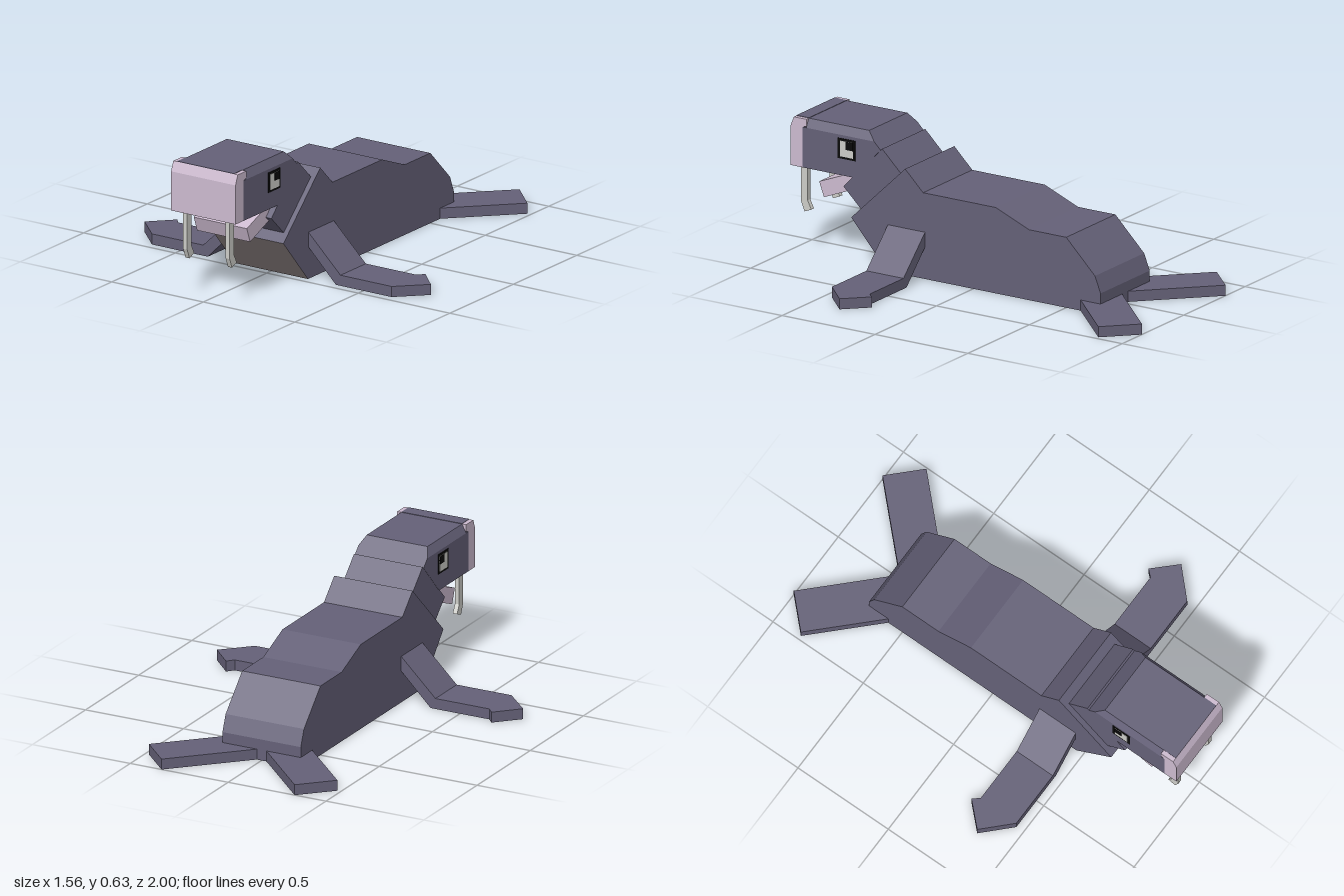
import * as THREE from 'three';

const mat = (name, color) => {
  const m = new THREE.MeshStandardMaterial({ color });
  m.name = name;
  return m;
};

export function createModel() {
  const group = new THREE.Group();
  const hide = mat('hide purple', 0x656178);
  const belly = mat('belly grey', 0x988c8c);
  const pink = mat('muzzle pink', 0xcdbbd0);
  const ivory = mat('ivory', 0xcdcdc8);
  const black = mat('eye black', 0x0a0a0a);

  const add = (name, geo, material) => {
    const mesh = new THREE.Mesh(geo, material);
    mesh.name = name;
    group.add(mesh);
    return mesh;
  };
  const extrude = (pts, depth) => new THREE.ExtrudeGeometry(
    new THREE.Shape(pts.map(p => new THREE.Vector2(p[0], p[1]))), { depth, bevelEnabled: false });
  // side profile of [z, y] points, extruded across x and centred on cx
  const across = (pts, width, cx = 0) =>
    extrude(pts, width).translate(0, 0, -width / 2).rotateY(-Math.PI / 2).translate(cx, 0, 0);
  // gives downward faces the second material
  const splitUnderside = (source) => {
    const geo = source.index ? source.toNonIndexed() : source;
    geo.clearGroups();
    const n = geo.attributes.normal;
    for (let i = 0; i < n.count; i += 3) geo.addGroup(i, 3, n.getY(i) < -0.3 ? 1 : 0);
    return geo;
  };

  // Body
  add('body', splitUnderside(across([
    [0.464, 0], [0.657, 0.22], [0.367, 0.5], [0.27, 0.405], [-0.12, 0.405], [-0.3, 0.332],
    [-0.5, 0.332], [-0.655, 0.177], [-0.685, 0.1], [-0.685, 0]], 0.4)), [hide, belly]);

  // Neck and head
  add('neck', across([[0.507, 0.563], [0.35, 0.41], [0.56, 0.2], [0.716, 0.35]], 0.35), hide);
  add('head', across([[0.935, 0.4], [0.935, 0.59], [0.55, 0.59], [0.515, 0.555], [0.66, 0.4]], 0.352), hide);
  const cap = across([[0.915, 0.59], [0.915, 0.63], [0.59, 0.63], [0.55, 0.59]], 0.352);
  const p = cap.attributes.position;
  for (let i = 0; i < p.count; i++) if (p.getY(i) > 0.61) p.setX(i, Math.sign(p.getX(i)) * 0.155);
  cap.computeVertexNormals();
  add('headTop', cap, hide);

  // Muzzle, its top plate and the open jaw
  add('muzzle', across([
    [0.935, 0.4], [1, 0.4], [1, 0.585], [0.982, 0.63], [0.915, 0.63], [0.915, 0.597], [0.935, 0.59]], 0.352), pink);
  add('muzzleTop', new THREE.BoxGeometry(0.31, 0.003, 0.067).translate(0, 0.6305, 0.9485), hide);
  add('jaw', across([[0.866, 0.338], [0.84, 0.268], [0.65, 0.345], [0.68, 0.412]], 0.29), pink);

  for (const [side, s] of [['left', 1], ['right', -1]]) {
    // Tusk
    add(side + 'Tusk', across([
      [0.975, 0.42], [0.94, 0.42], [0.94, 0.23], [0.92, 0.19], [0.957, 0.175], [0.975, 0.22]], 0.022, s * 0.116), ivory);

    // Eye, built from stacked thin plates
    const plate = (name, w, h, y, z, x, m) =>
      add(side + name, new THREE.BoxGeometry(0.004, h, w).translate(s * x, y, z), m);
    plate('EyeRim', 0.095, 0.095, 0.527, 0.697, 0.177, black);
    plate('EyeWhite', 0.07, 0.074, 0.527, 0.696, 0.179, ivory);
    plate('Pupil', 0.038, 0.038, 0.545, 0.68, 0.181, black);

    // Front flipper: sloping arm, flat paddle and pointed tip
    const arm = [[0.15, 0.269], [0.375, 0.05], [0.65, 0.05], [0.65, 0], [0.35, 0], [0.15, 0.2]];
    add(side + 'FrontFlipper', extrude(arm.map(([x, y]) => [s * x, y]), 0.2).translate(0, 0, 0.26), hide);
    const tip = [[0.65, 0.26], [0.678, 0.228], [0.782, 0.335], [0.655, 0.46], [0.65, 0.46]];
    add(side + 'FlipperTip',
      extrude(tip.map(([x, z]) => [s * x, -z]), 0.05).rotateX(-Math.PI / 2), hide);

    // Tail flipper, splayed at 45 degrees
    const tail = new THREE.BoxGeometry(0.2, 0.05, 0.48)
      .rotateY(-s * Math.PI / 4).translate(s * 0.241, 0.025, -0.76);
    add(side + 'TailFlipper', splitUnderside(tail), [hide, belly]);
  }
  return group;
}
